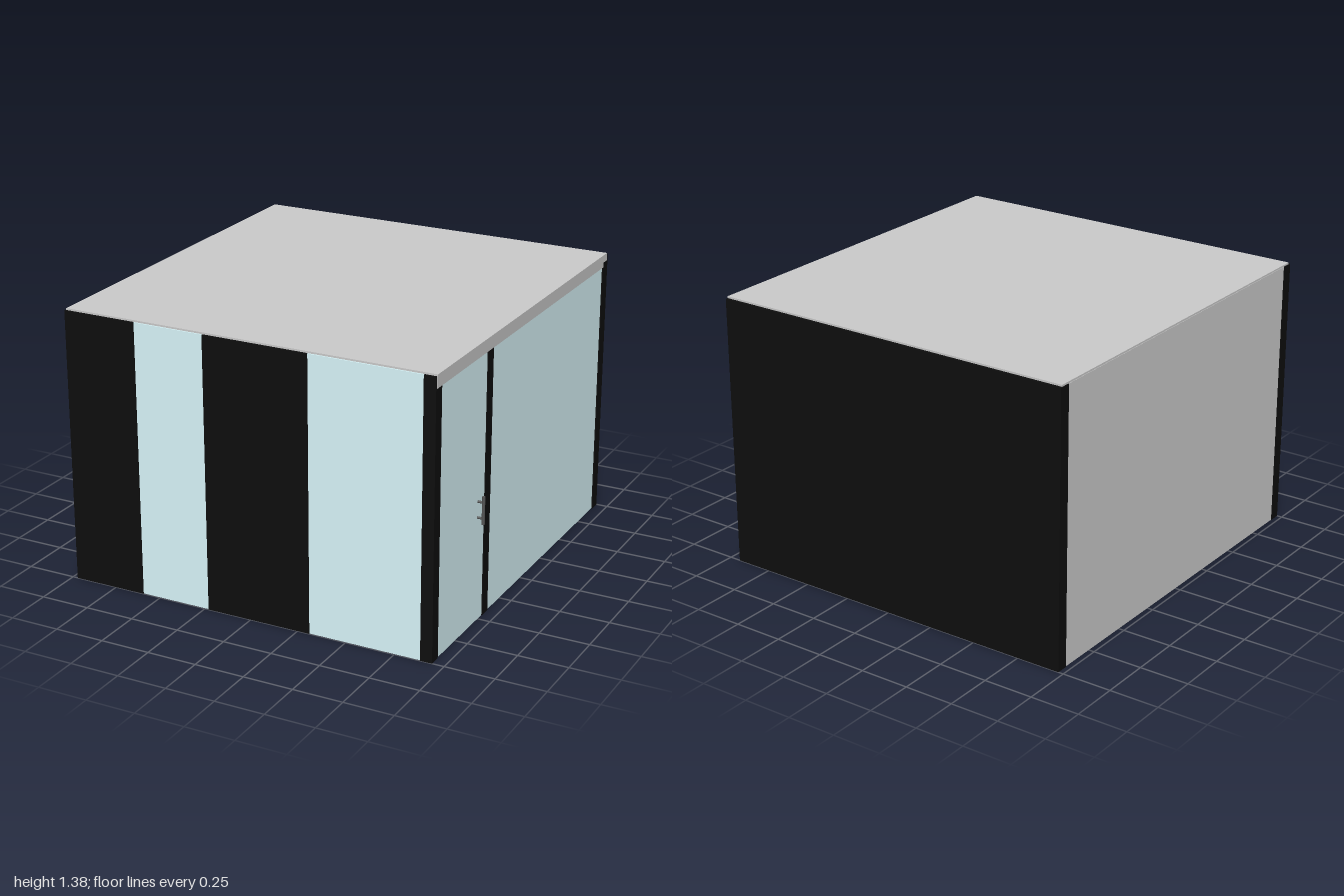
import * as THREE from 'three';

export function createModel() {
  const model = new THREE.Group();
  const material = (color) => new THREE.MeshStandardMaterial({ color });
  const grey = material(0xcccccc);
  const black = material(0x0e0e0e);
  const glass = material(0xdbf8fc);
  const metal = material(0x555555);

  // Box given by its extents along each axis
  function slab(name, mat, [x0, x1], [y0, y1], [z0, z1], parent = model) {
    const mesh = new THREE.Mesh(new THREE.BoxGeometry(x1 - x0, y1 - y0, z1 - z0), mat);
    mesh.position.set((x0 + x1) / 2, (y0 + y1) / 2, (z0 + z1) / 2);
    mesh.name = name;
    parent.add(mesh);
  }

  const L = -0.973, R = 0.94, T = 0.06;   // outer sides and wall thickness
  const TOP = 1.375, HEAD = 1.32;         // wall top and underside of the lintel

  // Floor and roof
  slab('floor', grey, [L + T, R - T], [0.004, 0.04], [-1 + T, 1 - T]);
  slab('roof', grey, [L + 0.004, R + 0.003], [TOP - 0.03, 1.384], [-0.985, 0.99]);

  // Solid back wall and left wall
  slab('backWall', black, [L - 0.001, R + 0.001], [0, TOP], [-1, -1 + T]);
  slab('leftWall', grey, [L + 0.002, L + T], [0, TOP], [-1 + T, 1 - T]);

  // Front wall: alternating solid and glazed panels
  const front = new THREE.Group();
  front.name = 'frontWall';
  model.add(front);
  const stops = [L, -0.595, -0.23, 0.31, 0.88, R];
  for (let i = 0; i < stops.length - 1; i++) {
    const solid = i % 2 === 0;
    const face = solid ? 1 : 0.996;
    slab(solid ? 'frontPanel' : 'frontWindow', solid ? black : glass,
      [stops[i], stops[i + 1]], [0, TOP], [1 - T, face], front);
  }

  // Right wall: glass door, post, large window and lintel
  slab('doorGlass', glass, [R - T, R - 0.004], [0, HEAD], [0.455, 1 - T]);
  slab('doorPost', black, [R - T, R], [0, HEAD], [0.395, 0.455]);
  slab('sideWindow', glass, [R - T, R - 0.004], [0, HEAD], [-1 + T, 0.395]);
  slab('lintel', grey, [R - T, R + 0.003], [HEAD, TOP], [-1 + T, 0.995]);

  // Door handle: upright bar on two stand-offs
  const handle = new THREE.Group();
  handle.name = 'doorHandle';
  handle.position.set(0.965, 0.57, 0.525);
  const bar = new THREE.Mesh(new THREE.CylinderGeometry(0.0075, 0.0075, 0.14, 16), metal);
  bar.name = 'handleBar';
  handle.add(bar);
  for (const y of [-0.04, 0.04]) {
    const mount = new THREE.Mesh(new THREE.CylinderGeometry(0.006, 0.006, 0.03, 12), metal);
    mount.name = 'handleMount';
    mount.rotation.z = Math.PI / 2;
    mount.position.set(-0.015, y, 0);
    handle.add(mount);
  }
  model.add(handle);

  return model;
}
